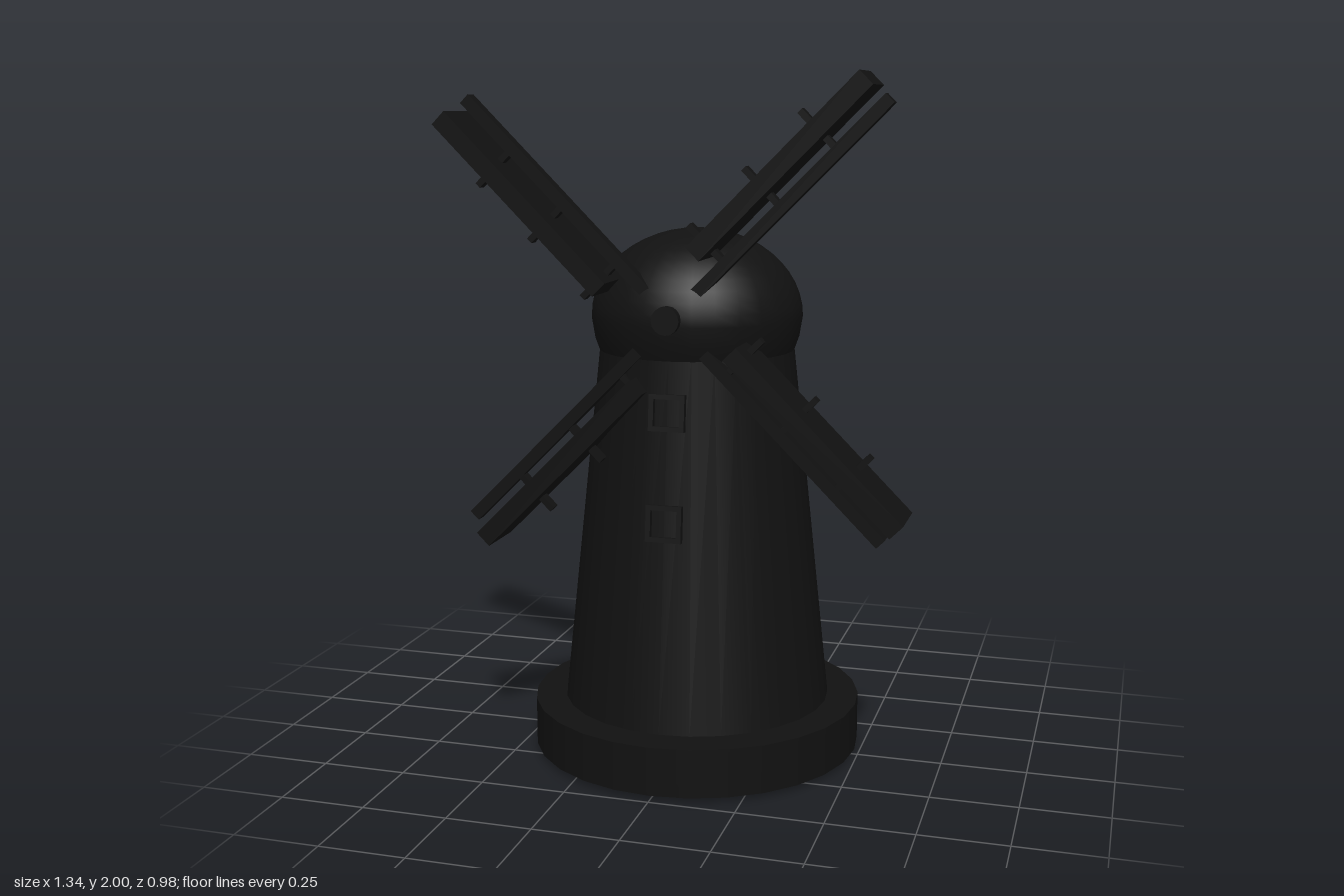
import * as THREE from 'three';

const SIDES = 28;
const material = new THREE.MeshStandardMaterial({ color: 0x111111 });

function add(parent, name, geometry, x = 0, y = 0, z = 0) {
  const mesh = new THREE.Mesh(geometry, material);
  mesh.name = name;
  mesh.position.set(x, y, z);
  parent.add(mesh);
  return mesh;
}

// Revolved profile, listed from bottom to top
function lathe(points) {
  return new THREE.LatheGeometry(points.map(([r, y]) => new THREE.Vector2(r, y)), SIDES);
}

// One sail pointing along +x: spar, edge-on board and rungs
function createSail() {
  const sail = new THREE.Group();
  sail.name = 'sail';
  add(sail, 'spar', new THREE.BoxGeometry(0.85, 0.034, 0.04), 0.425, 0, 0);
  add(sail, 'sailBoard', new THREE.BoxGeometry(0.66, 0.052, 0.168), 0.52, 0.074, 0);
  for (const u of [0.22, 0.44, 0.656]) {
    add(sail, 'rung', new THREE.BoxGeometry(0.018, 0.147, 0.03), u, 0.0735, 0);
  }
  return sail;
}

// Small framed window lying on the sloping tower wall
function createWindow(y, height) {
  const frame = new THREE.Group();
  frame.name = 'window';
  for (const s of [-1, 1]) {
    add(frame, 'windowJamb', new THREE.BoxGeometry(0.014, height, 0.03), s * 0.045, 0, 0);
    add(frame, 'windowRail', new THREE.BoxGeometry(0.104, 0.014, 0.03), 0, s * height / 2, 0);
  }
  frame.position.set(0, y, 0.397 - (y - 0.16) * 0.107);
  frame.rotation.x = -0.106;
  return frame;
}

export function createModel() {
  const model = new THREE.Group();
  model.name = 'windmill';

  // Round base with a slightly convex underside
  add(model, 'baseUnderside', lathe([[0, 0], [0.49, 0.015]]));
  add(model, 'baseWall', lathe([[0.49, 0.015], [0.49, 0.157]]));
  add(model, 'baseTop', lathe([[0.49, 0.157], [0, 0.16]]));

  // Tapered tower
  add(model, 'tower', new THREE.CylinderGeometry(0.286, 0.398, 1.06, SIDES, 1, true), 0, 0.69, 0);
  for (const y of [0.76, 1.07]) model.add(createWindow(y, 0.09));

  // Domed cap, tucked in below its widest line
  const dome = [[0.284, 1.205], [0.3, 1.25]];
  for (let i = 0; i <= 12; i++) {
    const a = (i / 12) * Math.PI / 2;
    dome.push([i === 12 ? 0 : 0.31 * Math.cos(a), 1.31 + 0.255 * Math.sin(a)]);
  }
  add(model, 'cap', lathe(dome));
  add(model, 'capUnderside', lathe([[0, 1.205], [0.284, 1.205]]));

  // Four sails set diagonally around the hub
  const sails = new THREE.Group();
  sails.name = 'sails';
  sails.position.set(0, 1.33, 0.256);
  for (let i = 0; i < 4; i++) {
    const sail = createSail();
    sail.rotation.z = Math.PI / 4 + i * Math.PI / 2;
    sails.add(sail);
  }
  const hub = add(sails, 'hub', new THREE.CylinderGeometry(0.04, 0.04, 0.1, 16), 0, 0, 0.02);
  hub.rotation.x = Math.PI / 2;
  model.add(sails);

  return model;
}
